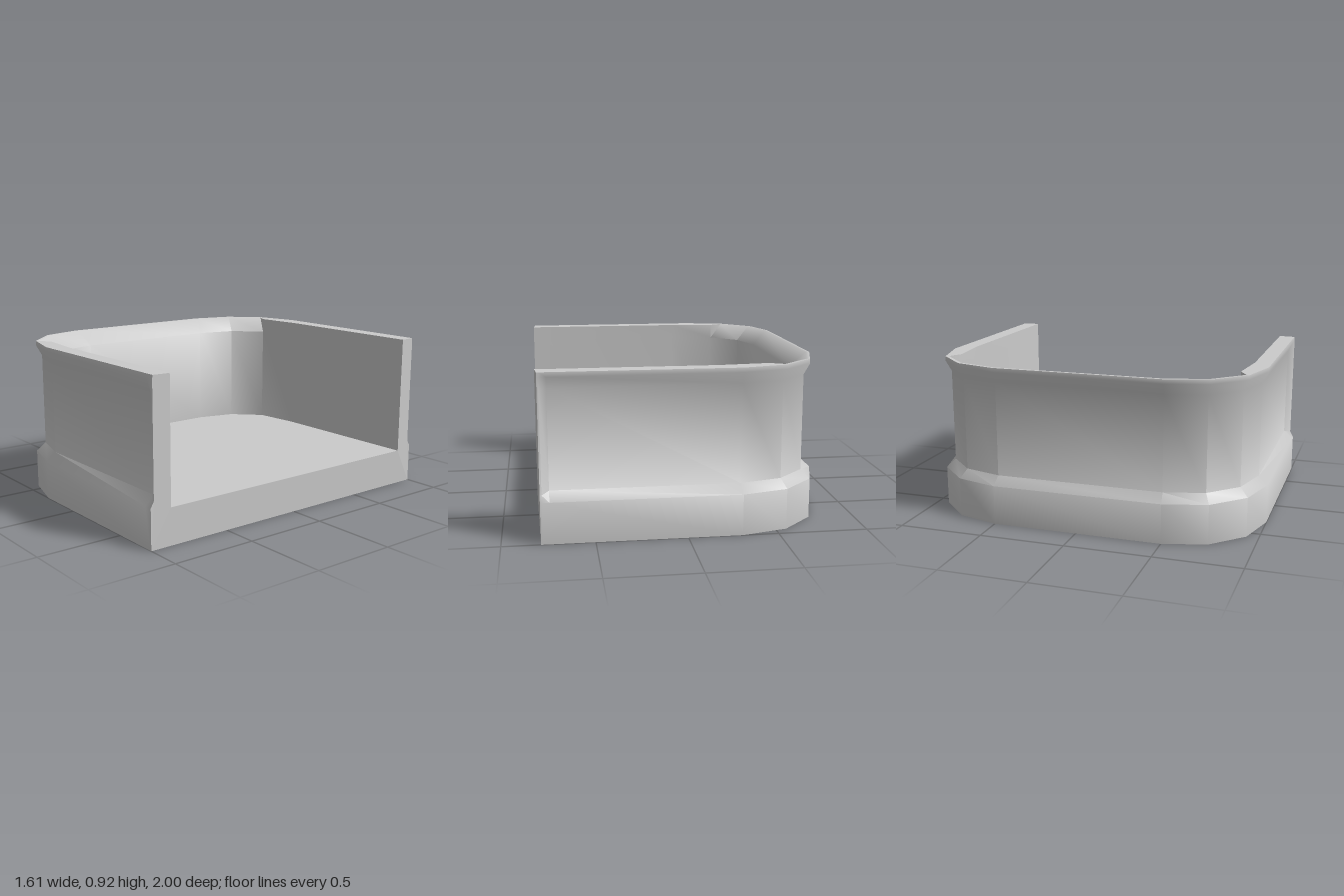
import * as THREE from 'three';
import { toCreasedNormals } from 'three/addons/utils/BufferGeometryUtils.js';

const FLOOR_Y = 0.215, TOP_Y = 0.92;

// Plan stations from the open end round to the back, for the +z half:
// outer [x, z], outward normal [x, z], inner [x, z], panel inset, flared lip or not
const STATIONS = [
  { o: [0.79, 1], n: [0, 1], i: [0.8, 0.88], inset: 0.02 },
  { o: [0.78, 1], n: [0, 1], i: [0.78, 0.88], inset: 0.02 },
  { o: [0.74, 1], n: [0, 1], i: [0.74, 0.88], inset: 0.055 },
  { o: [-0.3, 1], n: [-0.13, 0.99], i: [-0.18, 0.88], inset: 0.055 },
  { o: [-0.56, 0.93], n: [-0.5, 0.87], i: [-0.46, 0.85], inset: 0.055 },
  { o: [-0.56, 0.93], n: [-0.5, 0.87], i: [-0.46, 0.85], inset: 0.055, flare: true },
  { o: [-0.74, 0.75], n: [-0.87, 0.5], i: [-0.62, 0.69], inset: 0.055, flare: true },
  { o: [-0.81, 0.5], n: [-0.99, 0.13], i: [-0.68, 0.45], inset: 0.055, flare: true },
];

// Wall cross-section at one station: up the outside, over the rim, down the inside
function section({ o, n, i, inset, flare }) {
  const out = (d, y) => new THREE.Vector3(o[0] - n[0] * d, y, o[1] - n[1] * d);
  const inn = (y) => new THREE.Vector3(i[0], y, i[1]);
  return [
    out(0, 0),
    out(0, 0.23),
    out(inset, inset > 0.03 ? 0.28 : 0.265),
    out(inset, 0.83),
    out(0.02, 0.895),
    out(0.022, TOP_Y),
    flare ? out(0.042, TOP_Y) : inn(TOP_Y),
    inn(0.83),
    inn(FLOOR_Y),
  ];
}

function geometryFrom(points) {
  return new THREE.BufferGeometry().setFromPoints(points);
}

// Quad strips between neighbouring cross-sections
function loft(sections) {
  const pts = [];
  for (let s = 0; s < sections.length - 1; s++) {
    const a = sections[s], b = sections[s + 1];
    for (let j = 0; j < a.length - 1; j++) {
      pts.push(a[j], a[j + 1], b[j + 1], a[j], b[j + 1], b[j]);
    }
  }
  return toCreasedNormals(geometryFrom(pts), 0.86);
}

// Fills a closed outline, with every triangle facing the given direction
function fill(outline, u, v, facing) {
  const flat = outline.map((p) => new THREE.Vector2(p[u], p[v]));
  const pts = [];
  for (const [i, j, k] of THREE.ShapeUtils.triangulateShape(flat, [])) {
    const [a, b, c] = [outline[i], outline[j], outline[k]];
    const normal = b.clone().sub(a).cross(c.clone().sub(a));
    if (normal.dot(facing) > 0) pts.push(a, b, c);
    else pts.push(a, c, b);
  }
  const g = geometryFrom(pts);
  g.computeVertexNormals();
  return g;
}

export function createModel() {
  const group = new THREE.Group();
  const material = new THREE.MeshStandardMaterial({ color: 0xcccccc });
  const add = (name, geometry) => {
    const mesh = new THREE.Mesh(geometry, material);
    mesh.name = name;
    group.add(mesh);
  };

  // Mirror the half plan to get the whole U-shaped wall
  const half = STATIONS.map(section);
  const mirrored = half.map((s) => s.map((p) => new THREE.Vector3(p.x, p.y, -p.z))).reverse();
  const sections = [...half, ...mirrored];
  const last = sections[sections.length - 1];
  add('wall', loft(sections));

  // Floor and underside, skipping the doubled station where the lip starts
  const plan = sections.filter((s, k) => k !== 5 && k !== sections.length - 6);
  add('floor', fill(plan.map((s) => s[s.length - 1]), 'x', 'z', new THREE.Vector3(0, 1, 0)));
  add('underside', fill(plan.map((s) => s[0]), 'x', 'z', new THREE.Vector3(0, -1, 0)));

  // Open end: both wall ends and the edge of the base in one face
  add('openEnd', fill([...sections[0], ...last.slice().reverse()], 'z', 'y', new THREE.Vector3(1, 0, 0)));

  return group;
}
